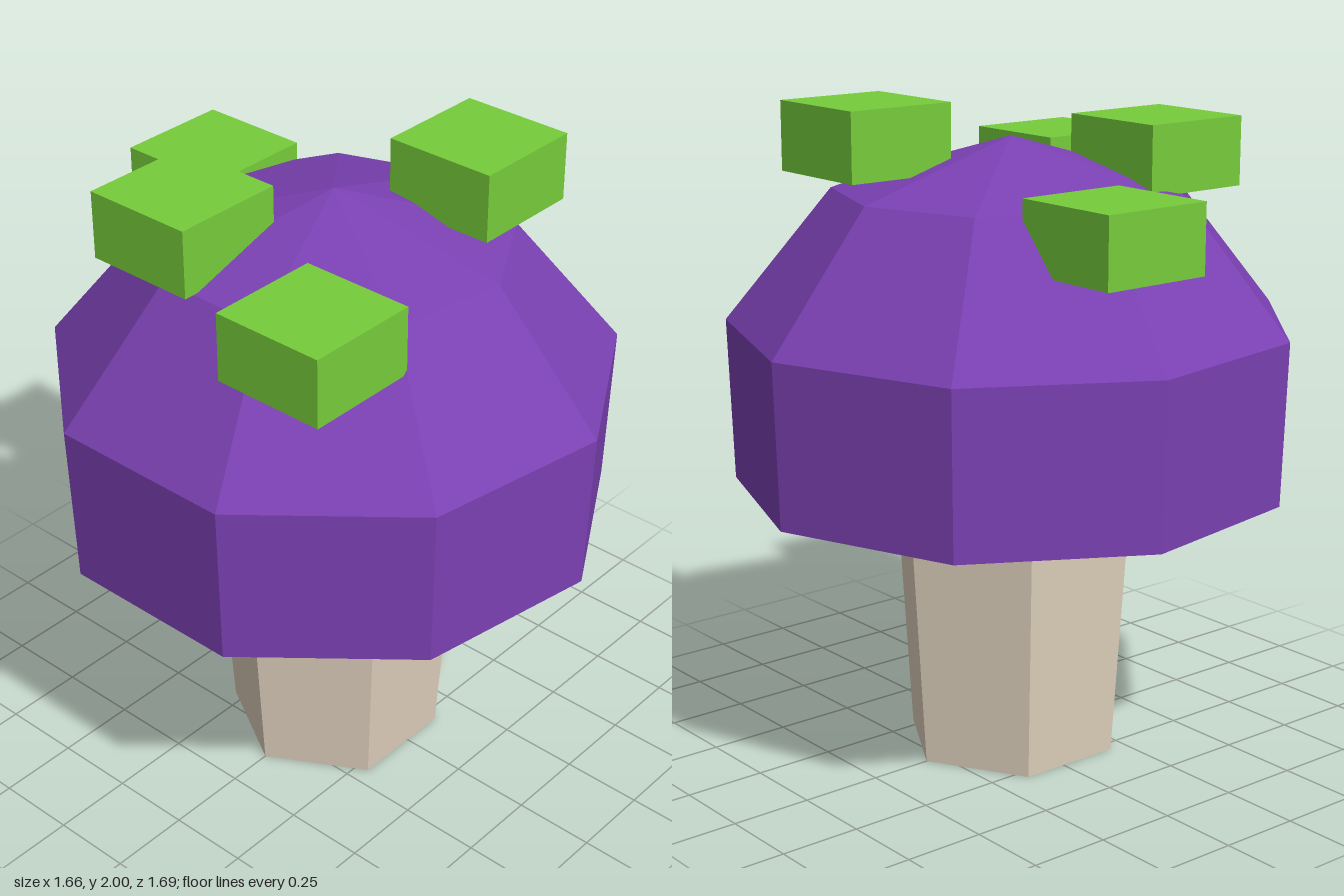
import * as THREE from 'three';

export function createModel() {
  const model = new THREE.Group();
  model.name = 'mushroom';

  const material = (name, color) => {
    const m = new THREE.MeshStandardMaterial({ color, flatShading: true });
    m.name = name;
    return m;
  };
  const purple = material('purple', 0x7b41b3);
  const beige = material('beige', 0xdfd0bc);
  const green = material('green', 0x76cc3b);

  const add = (name, geometry, mat, x, y, z) => {
    const mesh = new THREE.Mesh(geometry, mat);
    mesh.name = name;
    mesh.position.set(x, y, z);
    model.add(mesh);
  };

  const axisX = -0.027;

  // Six-sided stem, widening towards the cap
  const stemHeight = 0.85;
  add('stem', new THREE.CylinderGeometry(0.387, 0.333, stemHeight, 6, 1, false, Math.PI / 2),
    beige, axisX, stemHeight / 2, 0);

  // Nine-sided domed cap with a closed flat underside
  const profile = [[0, 0.845], [0.842, 0.845], [0.857, 1.34], [0.533, 1.74], [0, 1.895]]
    .map(([r, y]) => new THREE.Vector2(r, y));
  add('cap', new THREE.LatheGeometry(profile, 9, Math.PI / 2), purple, axisX, 0, 0);

  // Block-shaped spots set into the cap
  const spot = new THREE.BoxGeometry(0.355, 0.207, 0.353);
  [
    ['spotBack', 0.094, 1.688, -0.589],
    ['spotBackRight', -0.387, 1.847, -0.237],
    ['spotFrontRight', -0.505, 1.74, 0.349],
    ['spotFrontLeft', 0.329, 1.897, 0.233],
  ].forEach(([name, x, y, z]) => add(name, spot, green, x, y, z));

  return model;
}
